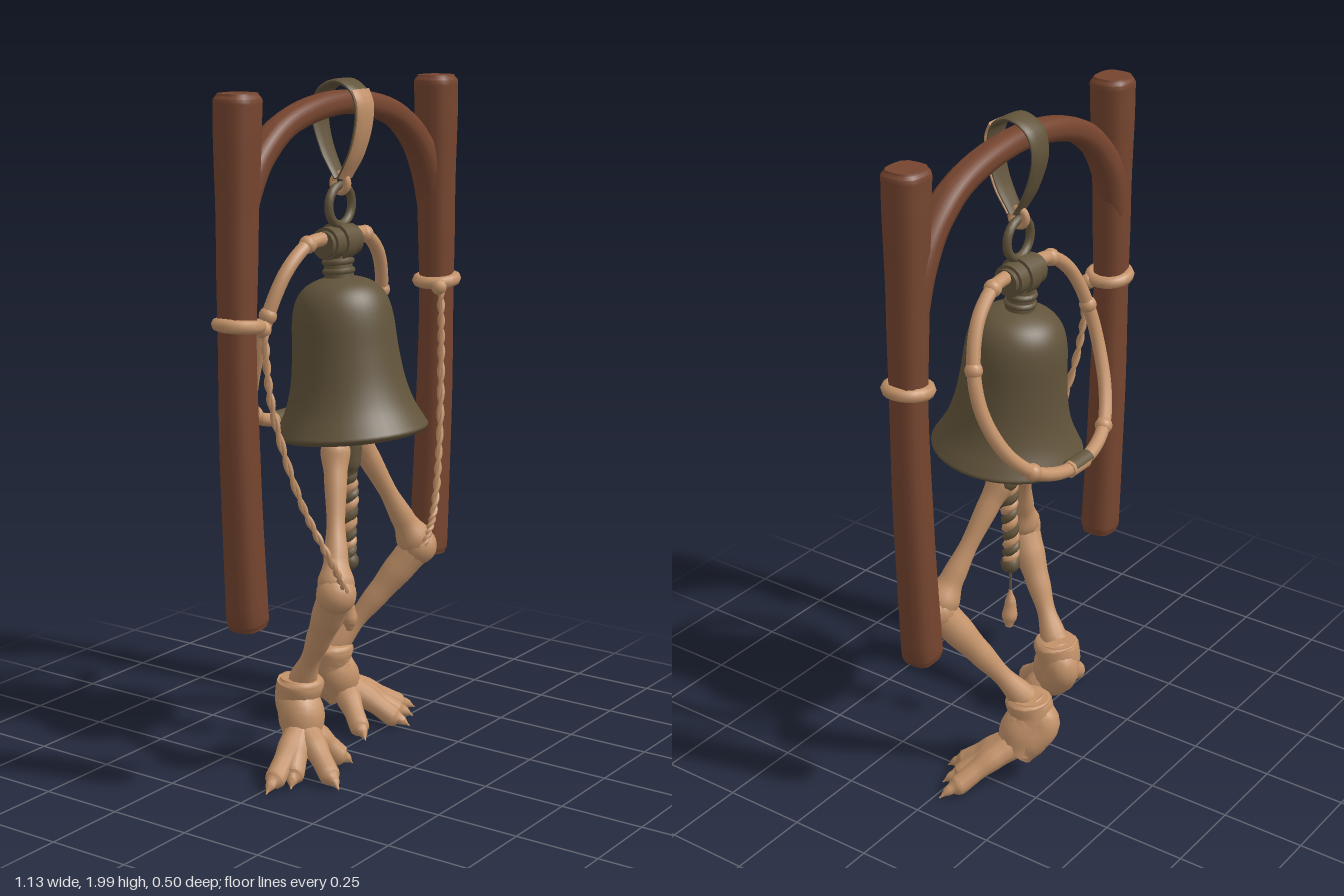
import * as THREE from 'three';
import { toCreasedNormals } from 'three/addons/utils/BufferGeometryUtils.js';

const mat = (name, color, side = THREE.FrontSide) => {
  const m = new THREE.MeshStandardMaterial({ color, side });
  m.name = name;
  return m;
};
const wood = mat('brown wood', 0x76452f);
const tan = mat('tan', 0xc4936a);
const bronze = mat('dark bronze', 0x62543b, THREE.DoubleSide);
const crimson = mat('dark crimson', 0x4a0628, THREE.DoubleSide);

const V = (x, y, z) => new THREE.Vector3(x, y, z);
const X = V(1, 0, 0), Y = V(0, 1, 0), Z = V(0, 0, 1);

function add(parent, name, geo, material, pos = [0, 0, 0], rot = [0, 0, 0]) {
  const m = new THREE.Mesh(geo, material);
  m.name = name;
  m.position.set(...pos);
  m.rotation.set(...rot);
  parent.add(m);
  return m;
}

// Capped sweep through [x, y, z, radius] points; ref fixes the section's first axis,
// flat scales the second axis, power > 2 squares the section.
function limb(pts, { ref = Z, sides = 12, steps = 6, flat = 1, power = 2 } = {}) {
  const curve = new THREE.CatmullRomCurve3(pts.map(p => V(p[0], p[1], p[2])));
  const n = (pts.length - 1) * steps, pos = [], idx = [];
  const ring = (t, k) => {
    const f = t * (pts.length - 1), i = Math.min(Math.floor(f), pts.length - 2);
    const r = k * THREE.MathUtils.lerp(pts[i][3], pts[i + 1][3], THREE.MathUtils.smoothstep(f - i, 0, 1));
    const c = curve.getPoint(t), T = curve.getTangent(t);
    const N = ref.clone().addScaledVector(T, -ref.dot(T)).normalize();
    const B = T.clone().cross(N);
    for (let j = 0; j < sides; j++) {
      const a = (j + 0.5) / sides * Math.PI * 2, co = Math.cos(a), s = Math.sin(a);
      const q = r / Math.pow(Math.abs(co) ** power + Math.abs(s) ** power, 1 / power);
      const p = c.clone().addScaledVector(N, co * q).addScaledVector(B, s * q * flat);
      pos.push(p.x, p.y, p.z);
    }
  };
  ring(0, 0.001);
  for (let i = 0; i <= n; i++) ring(i / n, 1);
  ring(1, 0.001);
  for (let i = 0; i < n + 2; i++) for (let j = 0; j < sides; j++) {
    const a = i * sides + j, b = i * sides + (j + 1) % sides;
    idx.push(a, b, a + sides, b, b + sides, a + sides);
  }
  const g = new THREE.BufferGeometry();
  g.setAttribute('position', new THREE.Float32BufferAttribute(pos, 3));
  g.setIndex(idx);
  return toCreasedNormals(g, 0.9);
}

// Two strands wound around a path
function twist(parent, name, pts, r, turns, mats) {
  const curve = new THREE.CatmullRomCurve3(pts.map(p => V(...p)));
  const n = turns * 8;
  mats.forEach((m, k) => {
    const path = [];
    for (let i = 0; i <= n; i++) {
      const a = i / 8 * Math.PI * 2 + k * Math.PI;
      path.push(curve.getPoint(i / n).add(V(Math.cos(a) * r * 0.6, 0, Math.sin(a) * r * 0.6)));
    }
    add(parent, name, new THREE.TubeGeometry(new THREE.CatmullRomCurve3(path), n * 2, r * 0.7, 6), m);
  });
}

function makeFrame(root) {
  const g = new THREE.Group();
  g.name = 'woodenFrame';
  root.add(g);
  for (const s of [-1, 1]) {
    add(g, 'post', limb([[s * 0.48, 1.985, 0, 0.047], [s * 0.48, 1.965, 0, 0.057], [s * 0.482, 1.9, 0, 0.056], [s * 0.488, 1.6, 0, 0.049],
      [s * 0.493, 1.3, 0, 0.045], [s * 0.484, 0.95, 0, 0.048], [s * 0.46, 0.54, 0, 0.051], [s * 0.458, 0.515, 0, 0.045]],
      { power: 3.5, sides: 16, flat: 1.08 }), wood);
    // Cord tied round each post
    add(g, 'postCord', new THREE.TorusGeometry(0.056, 0.019, 8, 20), tan, [s * 0.489, 1.37, 0.003], [Math.PI / 2, s * 0.1, 0]);
    add(g, 'cordKnot', new THREE.SphereGeometry(0.024, 10, 8), tan, [s * 0.437, 1.355, 0.045]);
  }
  const side = [[0.485, 1.58, -0.01, 0.042], [0.448, 1.71, -0.01, 0.045], [0.37, 1.815, -0.01, 0.041], [0.25, 1.89, -0.01, 0.038]];
  add(g, 'archBeam', limb([...side.map(([x, ...q]) => [-x, ...q]), [0, 1.932, -0.01, 0.037], ...side.reverse()],
    { power: 3, sides: 14, flat: 0.92 }), wood);
  twist(g, 'rightRope', [[-0.44, 1.36, 0.05], [-0.435, 1.15, 0.07], [-0.37, 0.87, 0.12], [-0.3, 0.68, 0.18], [-0.235, 0.57, 0.19]], 0.0095, 9, [tan, tan]);
  twist(g, 'leftRope', [[0.44, 1.36, 0.05], [0.43, 1.15, 0.06], [0.4, 0.87, 0.075], [0.34, 0.68, 0.095], [0.27, 0.6, 0.11]], 0.0095, 9, [tan, tan]);
}

function makeBell(root) {
  const g = new THREE.Group();
  g.name = 'hangingBell';
  root.add(g);
  // Strap looped over the arch, faced with a second colour in front
  const strap = { ref: X, flat: 0.18, power: 4 };
  const front = [[0, 1.968, 0.05, 0.041], [0, 1.93, 0.066, 0.04], [0, 1.87, 0.064, 0.038], [0, 1.79, 0.04, 0.035], [0, 1.72, 0, 0.03]];
  add(g, 'strap', limb([[0, 1.72, -0.012, 0.028], [0, 1.8, -0.055, 0.034], [0, 1.9, -0.08, 0.04], [0, 1.965, -0.06, 0.042],
    [0, 1.992, 0, 0.042], ...front], strap), bronze);
  add(g, 'strapFacing', limb(front.map(([x, y, z, r]) => [x, y + 0.001, z + 0.008, r + 0.001]), strap), tan);
  add(g, 'link', new THREE.TorusGeometry(0.025, 0.011, 8, 16), tan, [0, 1.705, -0.01], [0, Math.PI / 2, 0]);
  add(g, 'hangingRing', new THREE.TorusGeometry(0.056, 0.013, 8, 24), bronze, [0, 1.643, -0.01]);
  // Yoke drums and flanges
  for (const [x, r, w] of [[0, 0.056, 0.044], [-0.042, 0.047, 0.04], [0.042, 0.047, 0.04], [-0.066, 0.038, 0.02], [0.066, 0.038, 0.02]])
    add(g, 'yoke', new THREE.CylinderGeometry(r, r, w, 18), bronze, [x, 1.538, -0.018], [0, 0, Math.PI / 2]);

  const bell = new THREE.Group();
  bell.name = 'bell';
  bell.position.set(0, 1.45, -0.015);
  bell.rotation.x = -0.1;
  g.add(bell);
  const spline = p => new THREE.SplineCurve(p.map(q => new THREE.Vector2(...q))).getPoints(40);
  const outer = [[0.206, -0.468], [0.222, -0.455], [0.213, -0.435], [0.185, -0.38], [0.165, -0.31], [0.153, -0.22],
    [0.146, -0.13], [0.131, -0.073], [0.1, -0.035], [0.05, -0.014], [0.001, -0.01]];
  add(bell, 'bellShell', new THREE.LatheGeometry(spline(outer), 40), bronze);
  const inner = [[0.001, -0.05], [0.1, -0.07], [0.135, -0.14], [0.143, -0.24], [0.16, -0.34], [0.187, -0.43], [0.206, -0.468]];
  add(bell, 'bellInside', new THREE.LatheGeometry(spline(inner), 40), crimson);
  add(bell, 'crown', new THREE.CylinderGeometry(0.038, 0.044, 0.09, 18), bronze, [0, 0.015, 0]);
  for (const y of [0.005, 0.032])
    add(bell, 'crownRing', new THREE.TorusGeometry(0.038, 0.01, 8, 20), bronze, [0, y, 0], [Math.PI / 2, 0, 0]);

  // Handle hoop sloping back behind the bell, with joints
  const half = [[0.06, 1.555, -0.018], [0.14, 1.545, -0.022], [0.225, 1.48, -0.033], [0.28, 1.36, -0.058], [0.288, 1.24, -0.092],
    [0.25, 1.12, -0.143], [0.18, 1.045, -0.185], [0.09, 1.01, -0.208]];
  const hoop = [...half, [0, 1.0, -0.212], ...half.map(([x, y, z]) => [-x, y, z]).reverse()];
  add(g, 'hoop', new THREE.TubeGeometry(new THREE.CatmullRomCurve3(hoop.map(p => V(...p))), 90, 0.02, 10), tan);
  for (const s of [-1, 1]) for (const i of [1, 3, 6])
    add(g, 'hoopJoint', new THREE.SphereGeometry(0.026, 12, 8), tan, [s * half[i][0], half[i][1], half[i][2]]);
  // Cuff at the bottom of the hoop, with a dark plate on its upper side
  add(g, 'hoopCuff', new THREE.CylinderGeometry(0.024, 0.024, 0.08, 12), tan, [0, 1.0, -0.212], [0, 0, Math.PI / 2]);
  add(g, 'cuffPlate', new THREE.CylinderGeometry(0.027, 0.027, 0.085, 12, 1, true, Math.PI, Math.PI), bronze, [-0.01, 1.0, -0.212], [0.3, 0, -Math.PI / 2]);

  // Clapper cord and tassel
  add(g, 'clapperTop', limb([[0, 1.3, 0.02, 0.012], [0, 1.0, 0.02, 0.026], [0, 0.96, 0.02, 0.04], [0, 0.9, 0.02, 0.036], [0, 0.86, 0.02, 0.022]]), bronze);
  twist(g, 'clapperCord', [[0, 0.87, 0.02], [0.006, 0.78, 0.02], [-0.004, 0.68, 0.02], [0, 0.59, 0.02]], 0.021, 5, [bronze, tan]);
  add(g, 'clapperKnot', new THREE.SphereGeometry(0.03, 12, 8), bronze, [0, 0.6, 0.02]);
  add(g, 'tasselString', new THREE.CylinderGeometry(0.005, 0.005, 0.12, 6), bronze, [0, 0.545, 0.02]);
  add(g, 'tassel', limb([[0, 0.51, 0.02, 0.005], [0, 0.46, 0.02, 0.018], [0.004, 0.42, 0.02, 0.024], [0.008, 0.385, 0.02, 0.012]]), tan);
}

function makeLeg(root, name, hip, knee, ankle, sole, heel, toes) {
  const g = new THREE.Group();
  g.name = name;
  root.add(g);
  const mix = (a, b, t, r) => [...a.map((v, i) => v + (b[i] - v) * t), r];
  add(g, 'thigh', limb([[hip[0] * 0.85, hip[1] + 0.07, hip[2], 0.02], [...hip, 0.044], mix(hip, knee, 0.18, 0.034), mix(hip, knee, 0.5, 0.027),
    mix(hip, knee, 0.76, 0.036), mix(hip, knee, 0.92, 0.054), [...knee, 0.05]]), tan);
  add(g, 'knee', new THREE.SphereGeometry(0.058, 16, 12), tan, knee);
  add(g, 'shin', limb([[...knee, 0.052], mix(knee, ankle, 0.2, 0.048), mix(knee, ankle, 0.45, 0.038),
    mix(knee, ankle, 0.7, 0.029), mix(knee, ankle, 0.95, 0.042)]), tan);
  // Flared cuff flowing into the heel and foot
  const [x, y, z] = ankle;
  add(g, 'foot', limb([[x, y + 0.025, z, 0.058], [x, y + 0.01, z, 0.07], [x, y - 0.04, z - 0.012, 0.066], mix(ankle, sole, 0.55, 0.068),
    [...sole, 0.058]], { sides: 14 }), tan);
  add(g, 'heel', limb([[x, y, z, 0.05], [...heel, 0.054], mix(heel, sole, 0.5, 0.06), [...sole, 0.052]], { sides: 14 }), tan);
  // Toes with knuckle, pad and claw
  for (const tip of toes) {
    const p = (t, h, r) => [sole[0] + (tip[0] - sole[0]) * t, h, sole[2] + (tip[1] - sole[2]) * t, r];
    add(g, 'toe', limb([p(0, sole[1] + 0.03, 0.046), p(0.3, 0.1, 0.039), p(0.55, 0.066, 0.031), p(0.76, 0.036, 0.031),
      p(0.87, 0.028, 0.016), p(1, 0.01, 0.002)], { ref: Y, sides: 10 }), tan);
  }
}

export function createModel() {
  const root = new THREE.Group();
  root.name = 'walkingBell';
  makeFrame(root);
  makeBell(root);
  makeLeg(root, 'rightLeg', [-0.095, 0.95, 0.04], [-0.24, 0.58, 0.145], [-0.16, 0.25, -0.04], [-0.185, 0.1, -0.015], [-0.14, 0.19, -0.075],
    [[-0.415, 0.025], [-0.345, 0.06], [-0.27, 0.175], [-0.08, 0.09]]);
  makeLeg(root, 'leftLeg', [0.11, 0.95, -0.03], [0.31, 0.58, 0.06], [0.147, 0.25, -0.15], [0.19, 0.1, -0.14], [0.14, 0.19, -0.195],
    [[0.42, -0.02], [0.35, 0.02], [0.27, 0.06], [0.09, 0.02]]);
  // Socket behind the left hip
  add(root, 'hipSocket', new THREE.SphereGeometry(0.036, 14, 10), bronze, [0.11, 0.95, -0.045]);
  return root;
}
